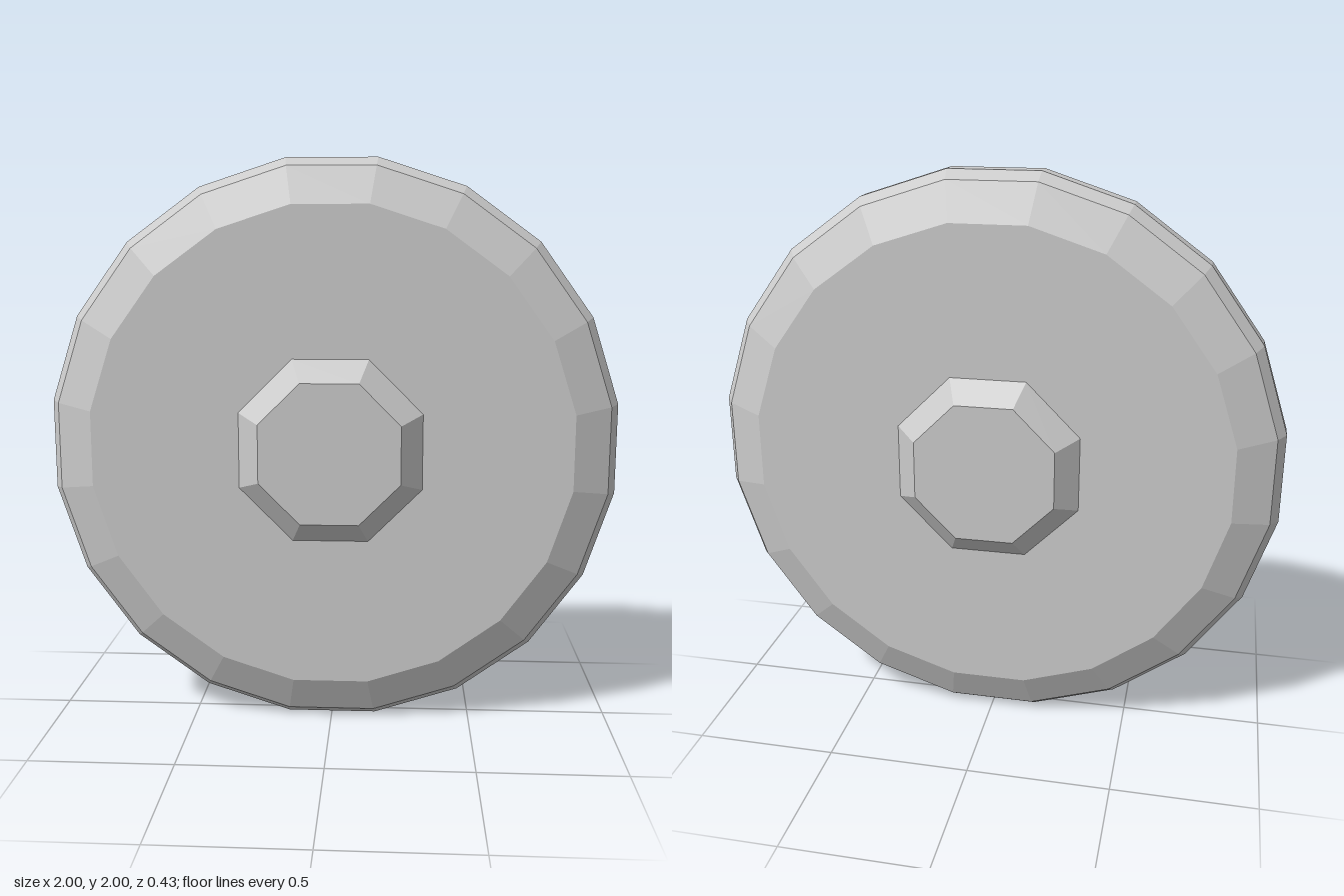
import * as THREE from 'three';

// Faceted solid of revolution about z; profile is [apothem, z], back to front
function turned(name, sides, profile, material) {
  const toCorner = 1 / Math.cos(Math.PI / sides);
  const points = profile.map(([r, z]) => new THREE.Vector2(r * toCorner, z));
  const geometry = new THREE.LatheGeometry(points, sides, Math.PI / sides);
  geometry.rotateX(Math.PI / 2);
  const mesh = new THREE.Mesh(geometry, material);
  mesh.name = name;
  mesh.position.y = 1;
  return mesh;
}

// Adds the mirrored back half to a front half profile running from rim to centre
function mirrored(front) {
  const back = front.map(([r, z]) => [r, -z]).reverse();
  return [...back, ...front];
}

export function createModel() {
  const group = new THREE.Group();
  group.name = 'wheel';
  const grey = new THREE.MeshStandardMaterial({ color: 0xcccccc, flatShading: true });

  // Twenty-sided disc with a rounded rim
  const discProfile = mirrored([[1, 0.035], [0.97, 0.079], [0.84, 0.141], [0, 0.141]]);
  group.add(turned('disc', 20, discProfile, grey));

  // Octagonal hub, bevelled where it stands out on both faces
  const hubProfile = mirrored([[0.32, 0.141], [0.245, 0.214], [0, 0.214]]);
  group.add(turned('hub', 8, hubProfile, grey));

  return group;
}
